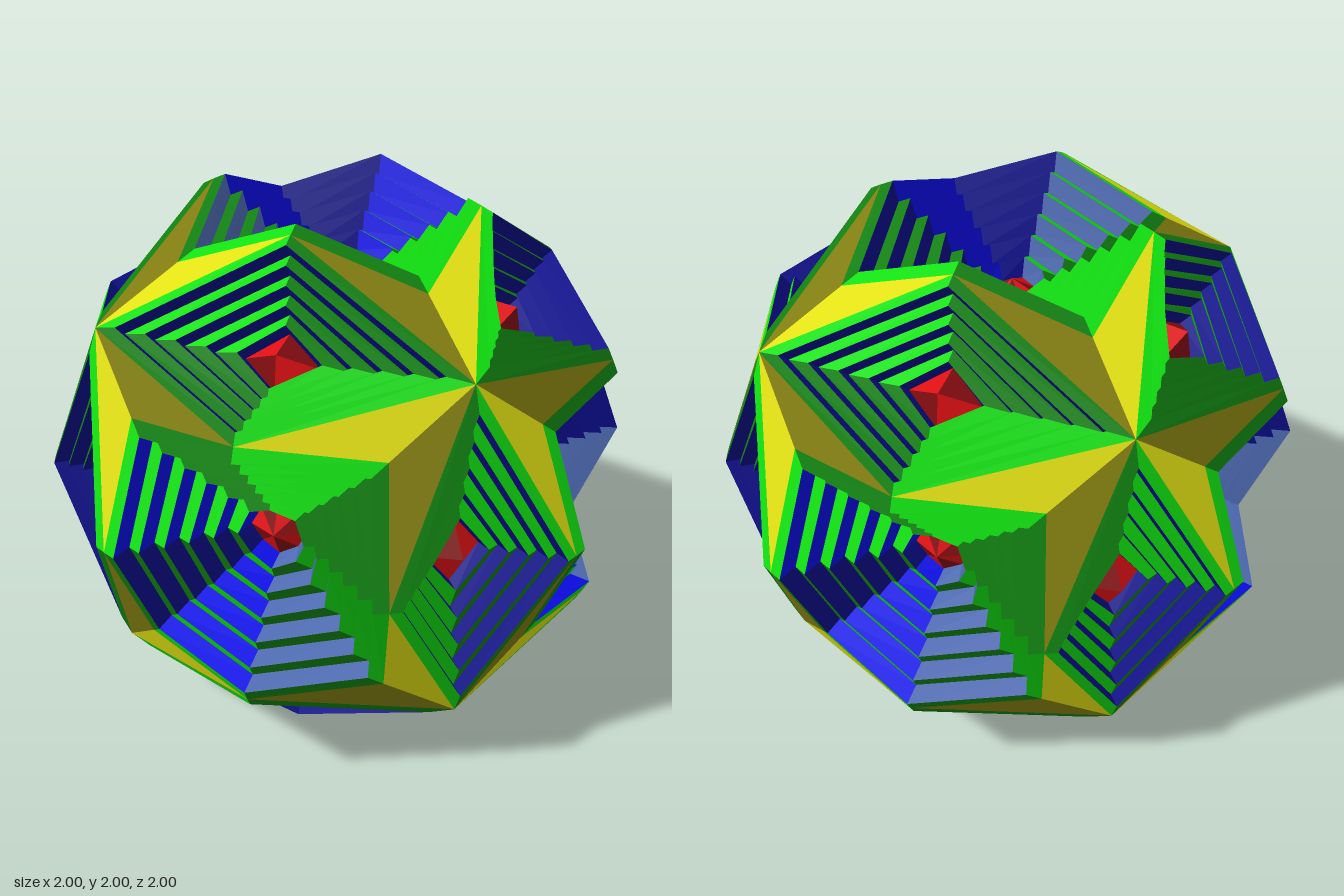
import * as THREE from 'three';

const V = (x, y, z) => new THREE.Vector3(x, y, z);
const mat = (name, color) => {
  const m = new THREE.MeshStandardMaterial({ color, flatShading: true });
  m.name = name;
  return m;
};

// True for every other one of the 48 mirror wedges around the centre
const isLight = p => {
  const a = Math.abs(p.x), b = Math.abs(p.y), c = Math.abs(p.z);
  return p.x * p.y * p.z * (a - b) * (b - c) * (c - a) > 0;
};

export function createModel() {
  const model = new THREE.Group();
  // Pairs of [light wedge, dark wedge] colours
  const greens = [mat('green', 0x10e010), mat('dark green', 0x107e10)];
  const yellows = [mat('yellow', 0xe2e012), mat('olive', 0x807c10)];
  const blues = [mat('blue', 0x0c0cf0), mat('navy', 0x0b0b88)];
  const reds = [mat('red', 0xe01014), mat('dark red', 0x800c10)];
  const slate = mat('slate blue', 0x4c68b0);

  // Gathers triangles for one named part, with one mesh per colour
  class Part {
    constructor(name) { this.name = name; this.byColour = new Map(); }
    tri(material, ...corners) {
      if (!this.byColour.has(material)) this.byColour.set(material, []);
      this.byColour.get(material).push(...corners);
    }
    quad(material, a, b, c, d) {
      this.tri(material, a, b, c);
      this.tri(material, a, c, d);
    }
    finish(parent) {
      for (const [material, points] of this.byColour) {
        const geo = new THREE.BufferGeometry().setFromPoints(points);
        geo.computeVertexNormals();
        const mesh = new THREE.Mesh(geo, material);
        mesh.name = this.name;
        parent.add(mesh);
      }
    }
  }

  // Places local pit coordinates (across, up, along axis n) in the model
  const frame = (n, e1) => {
    const e2 = n.clone().cross(e1);
    return (a, b, c) => V(0, 0, 0).addScaledVector(e1, a).addScaledVector(e2, b).addScaledVector(n, c);
  };

  // Stepped pit from an outer ring down to an inner ring, closed by a red point.
  // Rings are lists of local [a, b, c], counter-clockwise from outside.
  // Treads rise inwards to a lip; lifts gives that rise at even and odd corners.
  function pit(name, place, { outer, inner, steps, treadShare, lifts, tipHeight }, riserColour) {
    const group = new THREE.Group();
    group.name = name;
    const treads = new Part('treads'), risers = new Part('risers'), tip = new Part('centrePoint');
    const n = outer.length;
    const at = (i, radial, depth, lift) => {
      const o = outer[i % n], q = inner[i % n];
      const mix = (k, t) => o[k] + (q[k] - o[k]) * t;
      return place(mix(0, radial), mix(1, radial), mix(2, depth) + lift);
    };
    const ring = (i, t) => at(i, t, t, 0);
    for (let i = 0; i < n; i++) {
      const mid = ring(i, 0).add(ring(i + 1, 0));
      const shade = isLight(mid) ? 0 : 1;
      const riser = riserColour(mid, shade);
      for (let k = 0; k < steps; k++) {
        const t0 = k / steps, t1 = (k + 1) / steps;
        const lip = j => at(j, (k + treadShare) / steps, t0, lifts[j % 2]);
        treads.quad(greens[shade], ring(i, t0), ring(i + 1, t0), lip(i + 1), lip(i));
        risers.quad(riser, lip(i), lip(i + 1), ring(i + 1, t1), ring(i, t1));
      }
      tip.tri(reds[shade], ring(i, 1), ring(i + 1, 1), place(0, 0, tipHeight));
    }
    [treads, risers, tip].forEach(p => p.finish(group));
    model.add(group);
  }

  // Six axis pits: axis, first cross direction, corner whose risers are slate
  const axes = [
    ['frontPit', V(0, 0, 1), V(1, 0, 0), V(1, -1, 0)],
    ['backPit', V(0, 0, -1), V(1, 0, 0), V(-1, -1, 0)],
    ['leftPit', V(1, 0, 0), V(0, 1, 0), V(0, -1, -1)],
    ['rightPit', V(-1, 0, 0), V(0, 1, 0), V(0, -1, 1)],
    ['topPit', V(0, 1, 0), V(1, 0, 0), V(-1, 0, 1)],
    ['bottomPit', V(0, -1, 0), V(1, 0, 0), V(-1, 0, 1)],
  ];
  const A = 0.64, B = 0.49, BZ = 0.98, C = 0.43, CZ = 0.82;
  const starFacets = new Part('starFacets');
  const facet = (a, b, c) => {
    const light = isLight(a.clone().add(b).add(c));
    starFacets.tri(yellows[light ? 0 : 1], a, b, c);
  };
  for (const [name, n, e1, q] of axes) {
    const place = frame(n, e1);
    const outer = [], inner = [];
    for (let i = 0; i < 4; i++) {
      const c = Math.round(Math.cos(i * Math.PI / 2)), s = Math.round(Math.sin(i * Math.PI / 2));
      const turn = (x, y, z) => [x * c - y * s, x * s + y * c, z];
      outer.push(turn(B, 0, BZ), turn(C, C, CZ));
      inner.push(turn(0.1, 0, 0.66), turn(0.065, 0.065, 0.65));
      // Pair of yellow facets between the pit corner and the star peak
      const peak = place(...turn(A, A, A)), corner = place(...turn(C, C, CZ));
      facet(place(...turn(B, 0, BZ)), peak, corner);
      facet(corner, peak, place(...turn(0, B, BZ)));
    }
    const inCorner = m => ['x', 'y', 'z'].every(k => q[k] === 0 || q[k] * m[k] > 0);
    pit(name, place, {
      outer, inner, steps: 6, treadShare: 0.72, lifts: [0.021, 0.037], tipHeight: 0.71,
    }, (mid, shade) => (inCorner(mid) ? slate : blues[shade]));
  }
  starFacets.finish(model);

  // Twelve diamond-shaped pits between neighbouring axes
  const units = [V(1, 0, 0), V(0, 1, 0), V(0, 0, 1)];
  const r = Math.SQRT1_2, u = (BZ + B) * r, v = (BZ - B) * r;
  const diamond = {
    outer: [[A, 0, A / r], [0, v, u], [-A, 0, A / r], [0, -v, u]],
    inner: [[0.13, 0, 0.82], [0, 0.1, 0.83], [-0.13, 0, 0.82], [0, -0.1, 0.83]],
    steps: 5, treadShare: 0.85, lifts: [0.03, 0.014], tipHeight: 0.9,
  };
  for (let k = 0; k < 3; k++) {
    for (const s of [1, -1]) for (const t of [1, -1]) {
      const n = units[(k + 1) % 3].clone().multiplyScalar(s * r)
        .addScaledVector(units[(k + 2) % 3], t * r);
      pit('diamondPit', frame(n, units[k]), diamond, () => blues[1]);
    }
  }

  // Rest the ball on the ground
  model.children.forEach(child => { child.position.y = 1; });
  return model;
}
